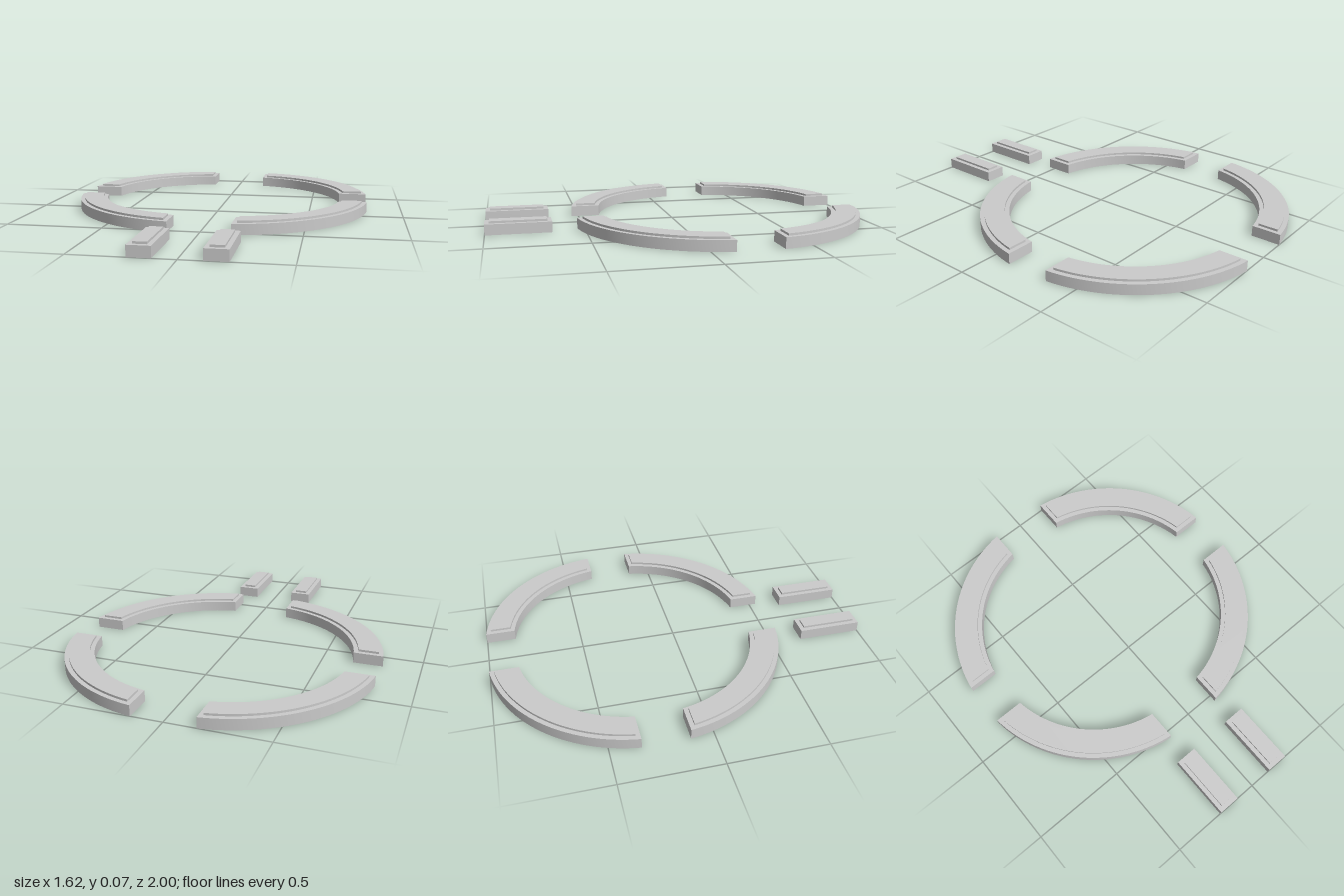
import * as THREE from 'three';
import { toCreasedNormals } from 'three/addons/utils/BufferGeometryUtils.js';

const BODY_TOP = 0.055, LIP_TOP = 0.066;
const material = new THREE.MeshStandardMaterial({ color: 0xcccccc, side: THREE.DoubleSide });

// Open-bottomed shell: wall, flat shelf, small raised lip and cap, from an outline that can be inset
function steppedShell(outline) {
  const outer = outline(0), inner = outline(0.023);
  const levels = [[outer, 0], [outer, BODY_TOP], [inner, BODY_TOP], [inner, LIP_TOP]];
  const pos = [];
  const put = ([pts, y], i) => pos.push(pts[i].x, y, pts[i].y);
  for (let l = 0; l < 3; l++) {
    const lo = levels[l], hi = levels[l + 1];
    for (let a = 0; a < outer.length; a++) {
      const b = (a + 1) % outer.length;
      put(lo, a); put(hi, a); put(hi, b);
      put(lo, a); put(hi, b); put(lo, b);
    }
  }
  for (const [a, b, c] of THREE.ShapeUtils.triangulateShape(inner, [])) {
    put(levels[3], a); put(levels[3], c); put(levels[3], b);
  }
  const geo = new THREE.BufferGeometry();
  geo.setAttribute('position', new THREE.Float32BufferAttribute(pos, 3));
  return toCreasedNormals(geo, Math.PI / 6);
}

// Keep every outline running the same way round after mirroring
const oriented = (pts) => (THREE.ShapeUtils.isClockWise(pts) ? pts.reverse() : pts);

// Quarter of the ring, with its two ends cut parallel to the axes
const arcOutline = (sx, sz) => (inset) => {
  const cut = 0.098 + inset, steps = 28, pts = [];
  const edge = (r, backwards) => {
    const start = Math.asin(cut / r), sweep = Math.PI / 2 - 2 * start;
    for (let i = 0; i <= steps; i++) {
      const t = start + sweep * (backwards ? 1 - i / steps : i / steps);
      pts.push(new THREE.Vector2(sx * (0.061 + r * Math.cos(t)), -0.232 + sz * (0.019 + r * Math.sin(t))));
    }
  };
  edge(0.756 - inset, false);
  edge(0.606 + inset, true);
  return oriented(pts);
};

// Straight bar in front of the ring
const barOutline = (sx) => (inset) => {
  const x0 = 0.112 + inset, x1 = 0.224 - inset, z0 = 0.667 + inset, z1 = 1 - inset;
  return oriented([[x0, z0], [x1, z0], [x1, z1], [x0, z1]].map(([x, z]) => new THREE.Vector2(sx * x, z)));
};

export function createModel() {
  const group = new THREE.Group();
  const add = (name, outline) => {
    const mesh = new THREE.Mesh(steppedShell(outline), material);
    mesh.name = name;
    group.add(mesh);
  };
  for (const sx of [1, -1]) {
    const side = sx > 0 ? 'Left' : 'Right';
    add('frontArc' + side, arcOutline(sx, 1));
    add('backArc' + side, arcOutline(sx, -1));
    add('bar' + side, barOutline(sx));
  }
  return group;
}
